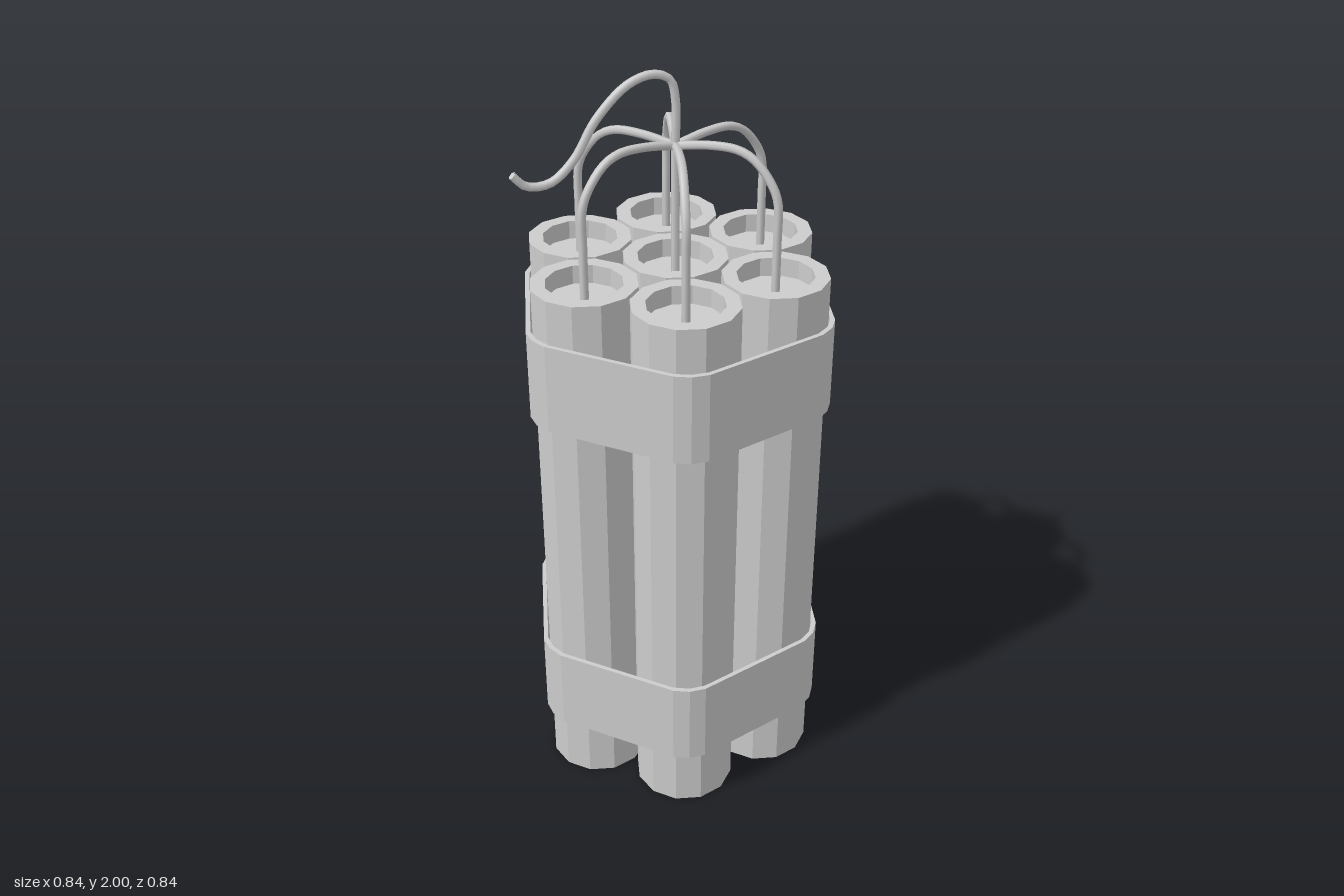
import * as THREE from 'three';

const material = new THREE.MeshStandardMaterial({ color: 0xcccccc, flatShading: true });
const wireMaterial = new THREE.MeshStandardMaterial({ color: 0xcccccc });
const HEIGHT = 1.51, RING = 0.275, TWIST = -Math.PI / 12, RECESS = 0.05;

function add(parent, geometry, name, mat = material) {
  const mesh = new THREE.Mesh(geometry, mat);
  mesh.name = name;
  parent.add(mesh);
  return mesh;
}

// Twelve-sided stick with a recessed floor at both ends
function stickGeometry() {
  const R = 0.137, r = 0.099;
  const profile = [
    [0, RECESS], [r, RECESS], [r, 0], [R, 0],
    [R, HEIGHT], [r, HEIGHT], [r, HEIGHT - RECESS], [0, HEIGHT - RECESS],
  ].map(([x, y]) => new THREE.Vector2(x, y));
  return new THREE.LatheGeometry(profile, 12);
}

// Hexagon outline with bevelled corners, shrunk by an inset
function strapOutline(inset) {
  const points = [];
  for (let i = 0; i < 6; i++) {
    for (const [offset, radius] of [[-6, 0.424], [0, 0.43], [6, 0.424]]) {
      const a = TWIST + i * Math.PI / 3 + THREE.MathUtils.degToRad(offset);
      points.push(new THREE.Vector2(Math.cos(a), Math.sin(a)).multiplyScalar(radius - inset));
    }
  }
  return points;
}

// Flat band wrapped round the bundle
function strapGeometry(bottom, top) {
  const shape = new THREE.Shape(strapOutline(0));
  shape.holes.push(new THREE.Path(strapOutline(0.013)));
  const geometry = new THREE.ExtrudeGeometry(shape, { depth: top - bottom, bevelEnabled: false });
  return geometry.rotateX(Math.PI / 2).translate(0, top, 0);
}

// Thin wire through points in the x-y plane
function wireCurve(points) {
  return new THREE.CatmullRomCurve3(points.map(([x, y]) => new THREE.Vector3(x, y, 0)));
}

export function createModel() {
  const group = new THREE.Group();
  group.name = 'bundle';

  const stick = stickGeometry();
  add(group, stick, 'centreStick');

  // Wire from each outer stick, arching in to the middle
  const floor = HEIGHT - RECESS;
  const arch = wireCurve([
    [RING, floor], [RING, 1.6], [RING - 0.002, 1.70], [0.255, 1.745],
    [0.21, 1.798], [0.165, 1.818], [0.09, 1.818], [0, 1.803],
  ]);
  const archGeometry = new THREE.TubeGeometry(arch, 32, 0.011, 6);

  for (let i = 0; i < 6; i++) {
    const a = TWIST + i * Math.PI / 3;
    add(group, stick, 'outerStick').position.set(RING * Math.cos(a), 0, RING * Math.sin(a));
    add(group, archGeometry, 'stickWire', wireMaterial).rotation.y = -a;
  }

  // Main fuse rising from the centre and trailing off to the side
  const fuse = wireCurve([
    [0, floor], [0, 1.65], [0, 1.80], [0, 1.92], [-0.013, 1.97], [-0.055, 1.988],
    [-0.12, 1.97], [-0.2, 1.895], [-0.26, 1.80], [-0.32, 1.75], [-0.38, 1.75], [-0.413, 1.782],
  ]);
  add(group, new THREE.TubeGeometry(fuse, 56, 0.011, 6), 'mainFuse', wireMaterial);
  const tip = add(group, new THREE.CircleGeometry(0.011, 6), 'fuseTip');
  tip.position.copy(fuse.getPoint(1));
  tip.quaternion.setFromUnitVectors(new THREE.Vector3(0, 0, 1), fuse.getTangent(1));

  // Two straps
  add(group, strapGeometry(0.177, 0.42), 'lowerStrap');
  add(group, strapGeometry(1.152, 1.395), 'upperStrap');

  return group;
}
